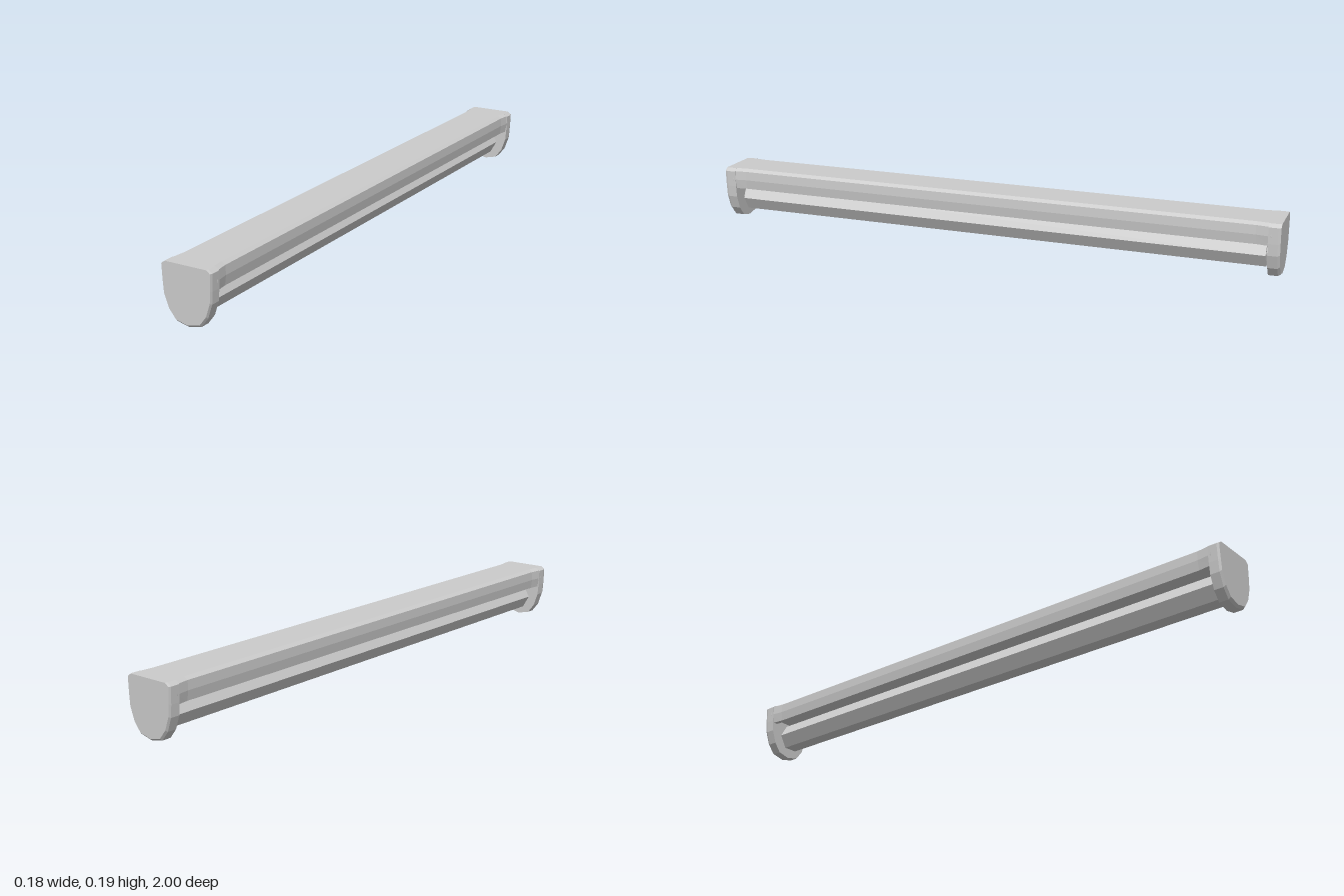
import * as THREE from 'three';

const material = new THREE.MeshStandardMaterial({ color: 0xcccccc, flatShading: true });

// Full counter-clockwise outline from its right half (listed bottom to top).
function mirrored(half) {
  const left = half.filter(([x]) => x > 0).map(([x, y]) => [-x, y]).reverse();
  return [...half, ...left];
}

// Closed solid through outlines placed at increasing z; each section is { z, outline }.
function loft(sections) {
  const n = sections[0].outline.length;
  const positions = [];
  const index = [];
  for (const { z, outline } of sections) {
    for (const [x, y] of outline) positions.push(x, y, z);
  }
  for (let s = 0; s < sections.length - 1; s++) {
    for (let j = 0; j < n; j++) {
      const a = s * n + j, b = s * n + (j + 1) % n;
      index.push(a, b, b + n, a, b + n, a + n);
    }
  }
  const flat = sections[0].outline.map(([x, y]) => new THREE.Vector2(x, y));
  const last = (sections.length - 1) * n;
  for (const [a, b, c] of THREE.ShapeUtils.triangulateShape(flat, [])) {
    index.push(a, c, b, last + a, last + b, last + c);
  }
  const geometry = new THREE.BufferGeometry();
  geometry.setAttribute('position', new THREE.Float32BufferAttribute(positions, 3));
  geometry.setIndex(index);
  const result = geometry.toNonIndexed();
  result.computeVertexNormals();
  return result;
}

export function createModel() {
  const group = new THREE.Group();
  const add = (name, geometry) => {
    const mesh = new THREE.Mesh(geometry, material);
    mesh.name = name;
    group.add(mesh);
    return mesh;
  };

  // Long housing with a shallow channel underneath, flaring into the end caps
  const housing = mirrored([
    [0.052, 0.135], [0.062, 0.122], [0.077, 0.122], [0.082, 0.155], [0.081, 0.186], [0.068, 0.195],
  ]);
  const widened = (k) => housing.map(([x, y]) => [x * k, y]);
  add('housing', loft([
    { z: -0.97, outline: widened(1.08) },
    { z: -0.92, outline: housing },
    { z: 0.92, outline: housing },
    { z: 0.97, outline: widened(1.08) },
  ]));

  // Rounded shield-shaped end caps, softly bevelled on the outer face
  const cap = mirrored([
    [0, 0.002], [0.043, 0.012], [0.068, 0.044], [0.084, 0.09], [0.087, 0.13], [0.089, 0.185], [0.075, 0.195],
  ]);
  const inset = cap.map(([x, y]) => [x * 0.97, 0.195 + (y - 0.195) * 0.96]);
  for (const side of [1, -1]) {
    const mesh = add(side > 0 ? 'frontEndCap' : 'backEndCap', loft([
      { z: 0.96, outline: cap },
      { z: 0.992, outline: cap },
      { z: 1, outline: inset },
    ]));
    if (side < 0) mesh.rotation.y = Math.PI;

    // Socket holding the lamp tube
    const socket = add(side > 0 ? 'frontSocket' : 'backSocket', new THREE.CylinderGeometry(0.034, 0.034, 0.03, 8));
    socket.rotation.x = Math.PI / 2;
    socket.position.set(0, 0.077, side * 0.955);
  }

  // Six-sided lamp tube with points at left and right
  const tube = add('lampTube', new THREE.CylinderGeometry(0.05, 0.05, 1.9, 6, 1, false, Math.PI / 2));
  tube.rotation.x = Math.PI / 2;
  tube.position.y = 0.077;

  return group;
}
